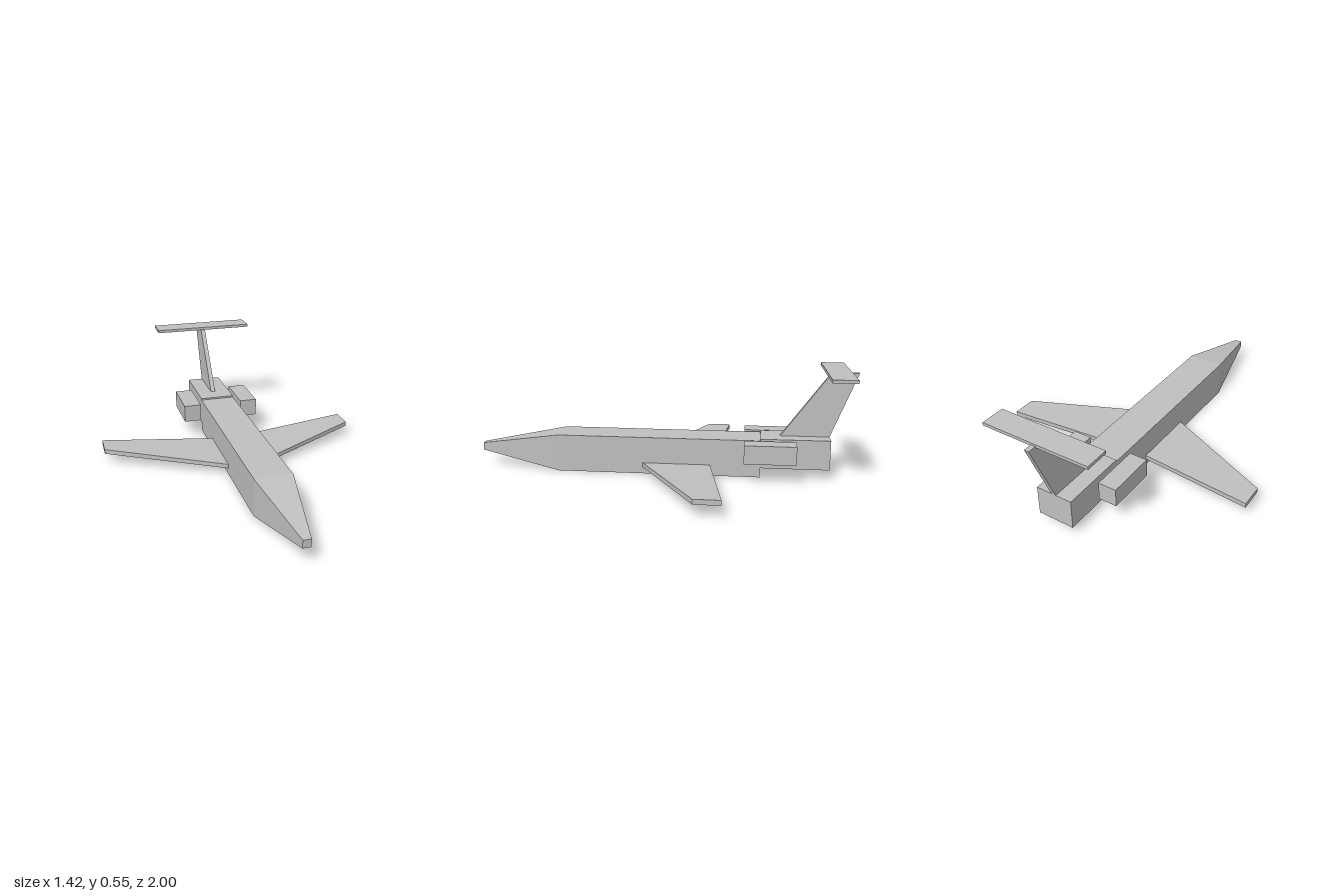
import * as THREE from 'three';

// Closed solid between two four-cornered sections; a runs counter-clockwise seen from outside b's end
function loft(a, b) {
  const tris = [];
  const quad = (p, q, r, s) => tris.push(...p, ...q, ...r, ...p, ...r, ...s);
  quad(b[0], b[1], b[2], b[3]);
  quad(a[3], a[2], a[1], a[0]);
  for (let i = 0; i < 4; i++) {
    const j = (i + 1) % 4;
    quad(a[i], a[j], b[j], b[i]);
  }
  const geo = new THREE.BufferGeometry();
  geo.setAttribute('position', new THREE.Float32BufferAttribute(tris, 3));
  geo.computeVertexNormals();
  return geo;
}

// Rectangular sections facing +z, +x and +y
const sectionZ = (z, hw, y0, y1) => [[-hw, y0, z], [hw, y0, z], [hw, y1, z], [-hw, y1, z]];
const sectionX = (x, y0, y1, zBack, zFront) =>
  [[x, y0, zFront], [x, y0, zBack], [x, y1, zBack], [x, y1, zFront]];
const sectionY = (y, hw, zBack, zFront) =>
  [[-hw, y, zFront], [hw, y, zFront], [hw, y, zBack], [-hw, y, zBack]];

export function createModel() {
  const model = new THREE.Group();
  model.name = 'jetAirplane';
  const grey = new THREE.MeshStandardMaterial({ color: 0xc0c0c0 });
  grey.name = 'light grey';

  const add = (name, geo) => {
    const mesh = new THREE.Mesh(geo, grey);
    mesh.name = name;
    model.add(mesh);
  };
  const box = (name, x0, x1, y0, y1, z0, z1) => {
    const geo = new THREE.BoxGeometry(x1 - x0, y1 - y0, z1 - z0);
    geo.translate((x0 + x1) / 2, (y0 + y1) / 2, (z0 + z1) / 2);
    add(name, geo);
  };

  // Body
  const hw = 0.097;
  box('fuselage', -hw, hw, 0, 0.196, -0.51, 0.56);
  add('nose', loft(sectionZ(0.56, hw, 0, 0.196), sectionZ(1, 0.02, 0.08, 0.12)));
  box('tailSection', -hw, hw, 0.05, 0.205, -0.865, -0.51);

  // Swept wings and engines, mirrored
  const root = sectionX(hw, 0.035, 0.058, -0.25, 0.105);
  const tip = sectionX(0.71, 0.06, 0.085, -0.333, -0.205);
  const mirror = (s) => s.map(([x, y, z]) => [-x, y, z]);
  add('leftWing', loft(root, tip));
  add('rightWing', loft(mirror(tip), mirror(root)));
  box('leftEngine', 0.12, 0.217, 0.104, 0.2, -0.688, -0.425);
  box('rightEngine', -0.217, -0.12, 0.104, 0.2, -0.688, -0.425);

  // T-tail
  add('tailFin', loft(sectionY(0.205, 0.0125, -0.865, -0.612), sectionY(0.543, 0.0125, -1, -0.862)));
  box('tailplane', -0.284, 0.284, 0.537, 0.553, -0.957, -0.833);
  return model;
}
